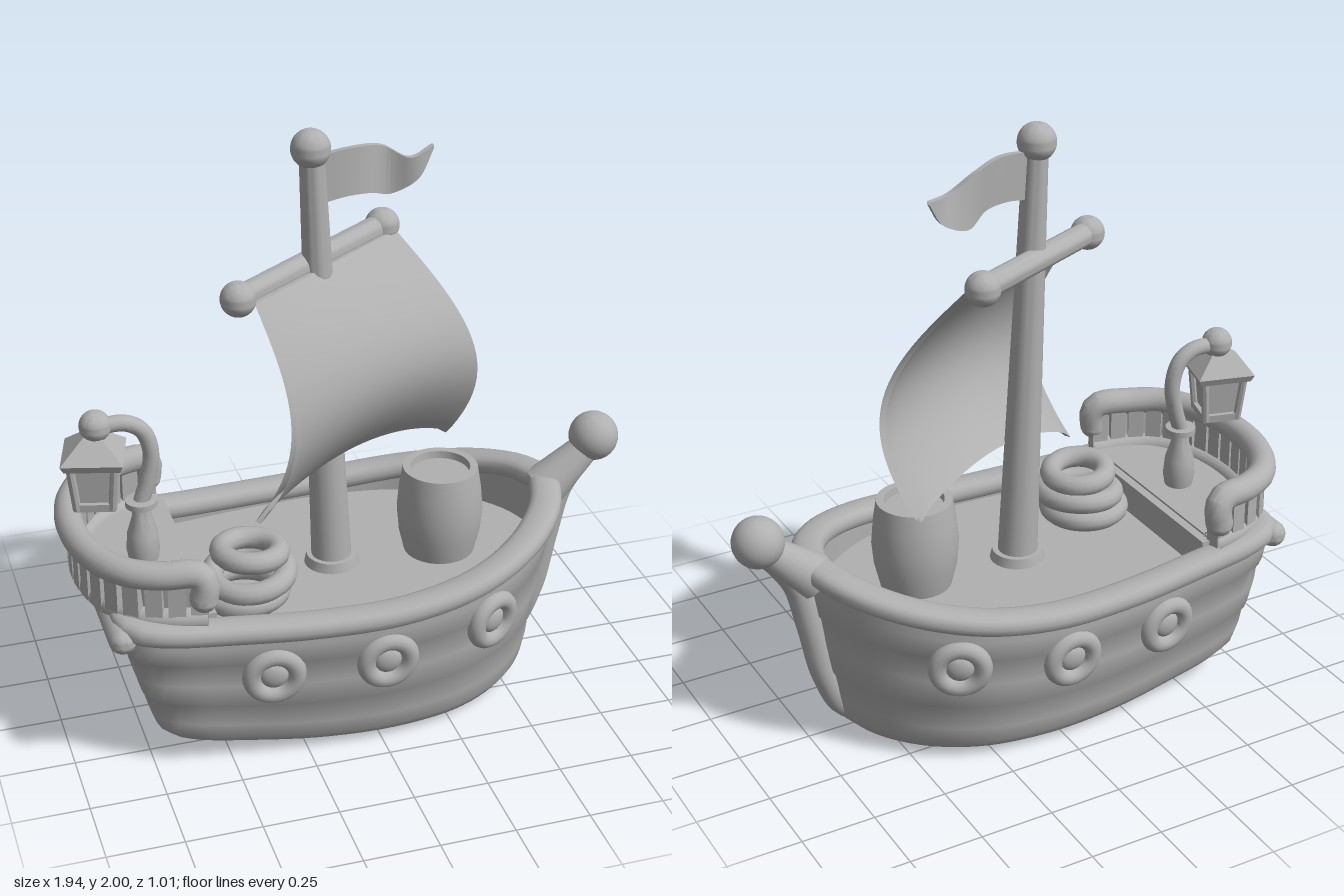
import * as THREE from 'three';
import { toCreasedNormals } from 'three/addons/utils/BufferGeometryUtils.js';

const V = (x, y, z) => new THREE.Vector3(x, y, z);

// Surface through rows of points; rows run bottom to top, points left to right.
function loft(rows, closed = false) {
  const n = rows[0].length, pos = [], idx = [];
  rows.forEach(r => r.forEach(p => pos.push(p.x, p.y, p.z)));
  for (let r = 0; r < rows.length - 1; r++) {
    for (let i = 0; i < (closed ? n : n - 1); i++) {
      const j = (i + 1) % n, a = r * n + i, b = r * n + j, c = b + n, d = a + n;
      idx.push(a, b, c, a, c, d);
    }
  }
  const g = new THREE.BufferGeometry();
  g.setAttribute('position', new THREE.Float32BufferAttribute(pos, 3));
  g.setIndex(idx);
  g.computeVertexNormals();
  return g;
}

// Rounded moulding of half-width w and half-height h along a closed level path.
function moulding(path, w, h) {
  const n = path.length, rows = [];
  for (let k = 0; k <= 16; k++) {
    const a = -Math.PI / 2 + k * Math.PI / 8, c = Math.cos(a), s = Math.sin(a);
    const sq = v => Math.sign(v) * Math.pow(Math.abs(v), 0.75);
    rows.push(path.map((p, i) => {
      const t = path[(i + 1) % n].clone().sub(path[(i + n - 1) % n]).setY(0).normalize();
      return V(p.x - t.z * sq(c) * w, p.y + sq(s) * h, p.z + t.x * sq(c) * w);
    }));
  }
  return loft(rows, true);
}

const sheer = x => 0.505 + (x + 0.1) ** 2 * (x > -0.1 ? 0.2 : 0.07);
const keelY = x => 0.015 + (x < 0 ? 0.14 * x * x : 0);

// Deck plan: half outline from stern to bow, mirrored to a loop.
const half = new THREE.CatmullRomCurve3([
  [-0.84, 0], [-0.84, 0.2], [-0.825, 0.36], [-0.75, 0.4], [-0.5, 0.43], [-0.2, 0.46],
  [0.1, 0.465], [0.35, 0.42], [0.55, 0.31], [0.68, 0.16], [0.74, 0],
].map(([x, z]) => V(x, 0, z)), false, 'centripetal').getSpacedPoints(48);
const plan = [...half, ...half.slice(1, -1).reverse().map(p => V(p.x, 0, -p.z))];

export function createModel() {
  const model = new THREE.Group();
  const grey = new THREE.MeshStandardMaterial({ color: 0xb0b0b0, side: THREE.DoubleSide });
  grey.name = 'clay grey';

  function add(name, geo, parent = model, crease = 0.6) {
    const m = new THREE.Mesh(toCreasedNormals(geo, crease), grey);
    m.name = name;
    parent.add(m);
    return m;
  }
  const group = name => {
    const g = new THREE.Group();
    g.name = name;
    model.add(g);
    return g;
  };
  function rod(name, p, q, r1, r2, parent, sides = 24) {
    const m = add(name, new THREE.CylinderGeometry(r2, r1, p.distanceTo(q), sides), parent);
    m.position.copy(p).lerp(q, 0.5);
    m.quaternion.setFromUnitVectors(V(0, 1, 0), q.clone().sub(p).normalize());
    return m;
  }
  function ball(name, p, r, parent) {
    const m = add(name, new THREE.SphereGeometry(r, 28, 20), parent);
    m.position.copy(p);
  }
  const tube = (name, pts, r, parent) =>
    add(name, new THREE.TubeGeometry(new THREE.CatmullRomCurve3(pts), 56, r, 16), parent);

  // Hull: overlapping strakes, flat bottom, bulwark and main deck
  const level = (t, sx, sz, out = 0) => plan.map(p => {
    const x = p.x * sx * (1 + out), y = THREE.MathUtils.lerp(keelY(x), sheer(p.x), t);
    return V(x, y, p.z * sz * (1 + out * 1.6));
  });
  const side = (t, out) => level(t, 0.86 + 0.14 * t, 0.91 + 0.09 * t, out);
  const deck = sz => plan.map(p => V(p.x * 0.92, 0.462, p.z * sz));
  add('hull', loft([
    level(0, 0.8, 0), level(0, 0.8, 0.8), level(0.025, 0.835, 0.87), side(0.09, 0),
    side(0.2, 0.006), side(0.35, 0), side(0.375, 0.012), side(0.55, 0.01), side(0.71, 0),
    side(0.735, 0.012), side(0.87, 0.008), side(1, 0), level(1, 0.92, 0.9), deck(0.9), deck(0),
  ], true), model, 0.9);
  add('gunwale', moulding(plan.map(p => V(p.x * 0.965, sheer(p.x), p.z * 0.965)), 0.054, 0.037), model, 1);
  const ledge = add('transomLedge', new THREE.CapsuleGeometry(0.045, 0.72, 8, 20));
  ledge.rotation.x = Math.PI / 2;
  ledge.position.set(-0.84, 0.515, 0);

  // Stem post, keel and prow ball
  tube('stem', [V(0.05, 0.05, 0), V(0.5, 0.05, 0), V(0.61, 0.085, 0), V(0.68, 0.22, 0),
    V(0.725, 0.42, 0), V(0.77, 0.6, 0), V(0.825, 0.69, 0), V(0.88, 0.78, 0)], 0.045);
  rod('prowNeck', V(0.71, 0.61, 0), V(0.87, 0.75, 0), 0.08, 0.05);
  ball('prowBall', V(0.89, 0.785, 0), 0.085);

  // Portholes, three on each side
  for (const s of [1, -1]) {
    for (const [x, y, z, yaw] of [[-0.37, 0.335, 0.432, -0.1], [0.005, 0.335, 0.455, 0], [0.385, 0.38, 0.395, 0.45]]) {
      const hole = group('porthole');
      add('portholeRing', new THREE.TorusGeometry(0.074, 0.031, 14, 32), hole);
      const pane = add('portholePane', new THREE.SphereGeometry(0.047, 20, 14), hole);
      pane.scale.z = 0.5;
      hole.position.set(x, y, z * s);
      hole.rotation.set(0.07, s > 0 ? yaw : Math.PI - yaw, 0, 'YXZ');
    }
  }

  // Stern balcony
  const stern = group('sternBalcony');
  const arc = [[-0.6, 0.395], [-0.71, 0.37], [-0.81, 0.315], [-0.89, 0.19], [-0.922, 0]];
  const bend = (y, dx, k) => [...arc.map(([x, z]) => V(x + dx, y, -z * k)),
    ...arc.slice(0, -1).reverse().map(([x, z]) => V(x + dx, y, z * k))];
  const curl = s => [V(-0.585, 0.65, 0.405 * s), V(-0.58, 0.705, 0.403 * s)];
  tube('balconyRail', [...curl(-1), ...bend(0.733, 0, 1), ...curl(1).reverse()], 0.046, stern);
  for (const s of [1, -1]) ball('railEnd', V(-0.585, 0.65, 0.405 * s), 0.046, stern);
  tube('balconyFoot', bend(0.567, 0.03, 0.98), 0.04, stern);
  const top = new THREE.CatmullRomCurve3(bend(0.72, 0, 1));
  const foot = new THREE.CatmullRomCurve3(bend(0.56, 0.03, 0.97));
  const up = top.getSpacedPoints(40), low = foot.getSpacedPoints(40);
  add('balconyPanel', loft([low, up]), stern);
  for (let i = 0; i <= 16; i++) {
    const u = 0.01 + 0.98 * i / 16, p = foot.getPointAt(u), q = top.getPointAt(u);
    const t = top.getTangentAt(u);
    const slat = add('baluster', new THREE.BoxGeometry(0.055, 0.17, 0.05), stern);
    slat.position.copy(p).lerp(q, 0.5);
    slat.rotation.y = -Math.atan2(t.z, t.x);
  }
  const floor = new THREE.Shape(low.map(p => new THREE.Vector2(p.x, -p.z)));
  const slab = add('sternDeck', new THREE.ExtrudeGeometry(floor, { depth: 0.055, bevelEnabled: false }), stern);
  slab.rotation.x = -Math.PI / 2;
  slab.position.y = 0.525;
  const step = add('deckStep', new THREE.BoxGeometry(0.06, 0.115, 0.76), stern);
  step.position.set(-0.57, 0.515, 0);

  // Lantern on a curved post
  const lamp = group('lantern');
  const vase = [[0.045, 0.56], [0.055, 0.62], [0.05, 0.68], [0.032, 0.74], [0.03, 0.77], [0.052, 0.78], [0.052, 0.8], [0, 0.805]];
  add('lanternPost', new THREE.LatheGeometry(vase.map(([r, y]) => new THREE.Vector2(r, y)), 24), lamp).position.x = -0.69;
  tube('lanternArm', [V(-0.69, 0.79, 0), V(-0.665, 0.87, 0), V(-0.65, 0.97, 0), V(-0.675, 1.05, 0),
    V(-0.73, 1.085, 0), V(-0.82, 1.085, 0)], 0.027, lamp);
  ball('lanternKnob', V(-0.825, 1.09, 0), 0.052, lamp);
  const cage = new THREE.Group();
  cage.name = 'lanternCage';
  cage.position.x = -0.835;
  cage.rotation.y = 0.52;
  lamp.add(cage);
  for (const [name, r1, r2, y0, y1] of [['lanternRoof', 0.14, 0.035, 0.995, 1.065], ['lanternEave', 0.125, 0.14, 0.97, 0.995],
    ['lanternGlass', 0.072, 0.09, 0.83, 0.975], ['lanternBase', 0.092, 0.096, 0.815, 0.842]])
    rod(name, V(0, y0, 0), V(0, y1, 0), r1, r2, cage, 4);
  for (let i = 0; i < 4; i++) {
    const c = Math.cos(i * Math.PI / 2), s = Math.sin(i * Math.PI / 2);
    rod('lanternBar', V(0.08 * s, 0.82, 0.08 * c), V(0.1 * s, 0.98, 0.1 * c), 0.014, 0.014, cage, 8);
  }

  // Mast and yard
  rod('mast', V(-0.05, 0.45, 0.01), V(-0.107, 1.93, 0), 0.068, 0.04);
  rod('mastCollar', V(-0.05, 0.455, 0.01), V(-0.05, 0.495, 0.01), 0.095, 0.085);
  ball('mastBall', V(-0.11, 1.937, 0), 0.063);
  const yl = V(-0.385, 1.53, 0.14), yr = V(0.185, 1.575, -0.19);
  rod('yard', yl, yr, 0.04, 0.04);
  ball('yardBall', yl, 0.057);
  ball('yardBall', yr, 0.057);

  // Billowing sail, front face then back face
  const sail = [];
  const sailRow = (v, depth) => Array.from({ length: 25 }, (_, i) => {
    const u = i / 24, b = Math.sin(Math.PI * Math.pow(v, 0.95));
    const lo = V(-0.35, 0.76, 0.19).lerp(V(0.4, 0.8, -0.15), u);
    const hi = V(-0.335, 1.525, 0.165).lerp(V(0.215, 1.565, -0.165), u);
    lo.y += 0.115 * Math.pow(Math.sin(Math.PI * u), 0.7);
    const p = lo.lerp(hi, v), d = 0.16 * b + depth;
    return V(p.x + 0.51 * d + 0.055 * b * u, p.y, p.z + 0.86 * d);
  });
  for (let k = 0; k <= 24; k++) sail.push(sailRow(k / 24, 0.01));
  for (let k = 24; k >= 0; k--) sail.push(sailRow(k / 24, -0.012));
  sail.push(sail[0]);
  add('sail', loft(sail));

  // Waving pennant
  const upper = new THREE.CatmullRomCurve3([V(-0.1, 1.91, 0), V(0.03, 1.92, -0.02), V(0.14, 1.9, -0.06), V(0.23, 1.85, -0.06), V(0.33, 1.86, -0.12)]);
  const lower = new THREE.CatmullRomCurve3([V(-0.1, 1.75, 0), V(0, 1.765, -0.01), V(0.09, 1.76, -0.03), V(0.18, 1.73, -0.08), V(0.27, 1.765, -0.09), V(0.33, 1.85, -0.12)]);
  const shift = (c, z) => c.getPoints(28).map(p => p.add(V(0, 0, z)));
  add('pennant', loft([shift(lower, 0.01), shift(upper, 0.01), shift(upper, -0.01), shift(lower, -0.01), shift(lower, 0.01)]));

  // Barrel with a sunken lid
  const barrel = [[0.118, 0.455], [0.138, 0.54], [0.145, 0.62], [0.138, 0.7], [0.126, 0.775], [0.1, 0.775], [0.097, 0.75], [0, 0.75]];
  add('barrel', new THREE.LatheGeometry(barrel.map(([r, y]) => new THREE.Vector2(r, y)), 32)).position.set(0.325, 0, 0.03);

  // Coiled rope
  for (const [x, y, z, r, tilt] of [[-0.395, 0.5, 0.15, 0.12, 0], [-0.375, 0.56, 0.155, 0.122, 0.08], [-0.37, 0.638, 0.15, 0.095, -0.06]]) {
    const coil = add('ropeCoil', new THREE.TorusGeometry(r, 0.037, 12, 32), model, 0.8);
    coil.position.set(x, y, z);
    coil.rotation.set(Math.PI / 2 + tilt, tilt, 0);
  }
  return model;
}
